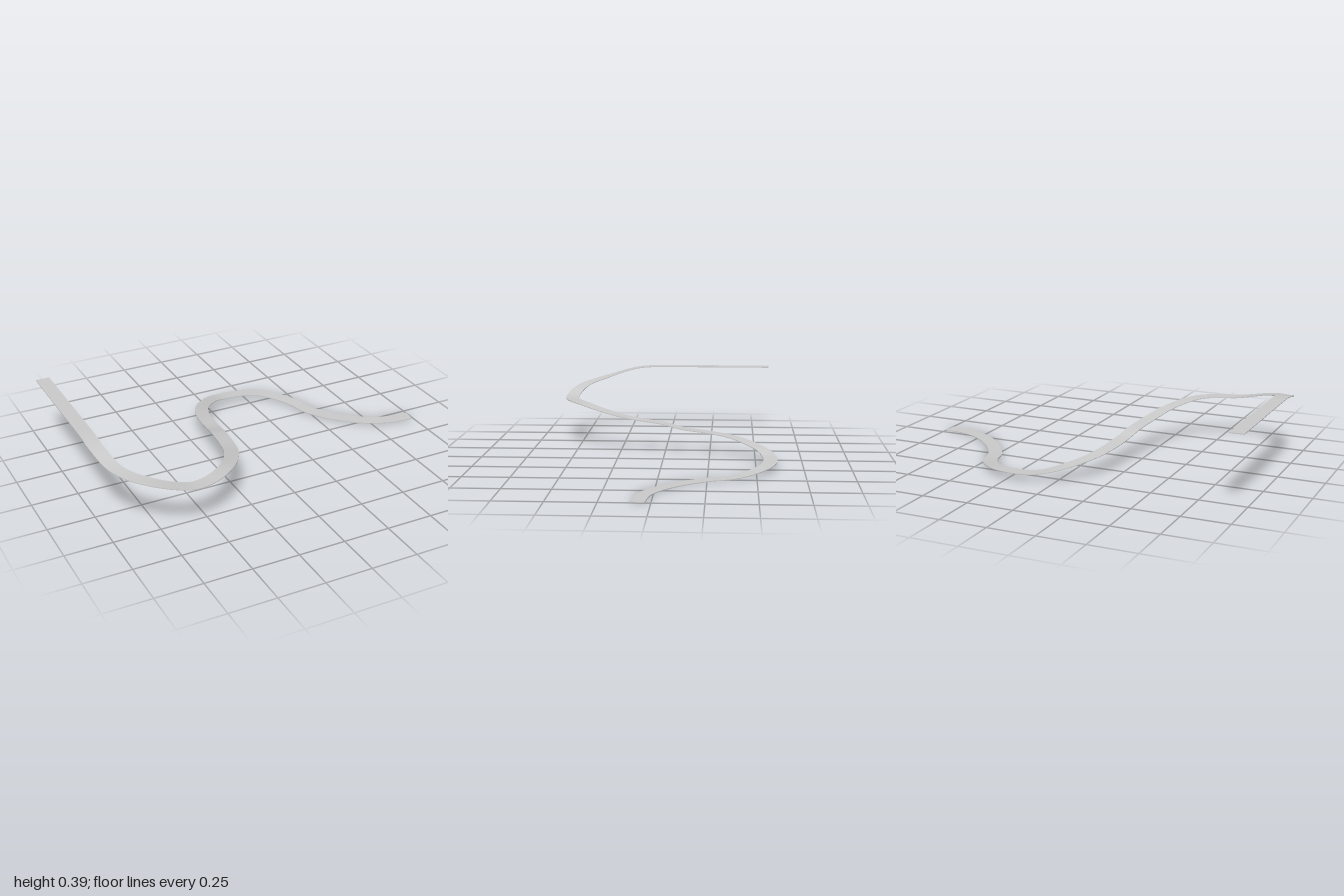
import * as THREE from 'three';

const WIDTH = 0.075, THICK = 0.004, STEPS = 160;

// Centre line of the road's top surface: x, height, z
const PATH = [
  [-0.962, 0.389, -0.595], [-0.962, 0.389, -0.3], [-0.962, 0.389, 0], [-0.962, 0.387, 0.13],
  [-0.96, 0.376, 0.225], [-0.916, 0.328, 0.398], [-0.79, 0.294, 0.524], [-0.617, 0.252, 0.572],
  [-0.53, 0.246, 0.56], [-0.445, 0.246, 0.524], [-0.375, 0.241, 0.468], [-0.318, 0.227, 0.398],
  [-0.264, 0.207, 0.3], [-0.232, 0.188, 0.2], [-0.197, 0.162, 0], [-0.18, 0.139, -0.1],
  [-0.161, 0.122, -0.25], [-0.115, 0.102, -0.39], [0.012, 0.065, -0.533], [0.09, 0.048, -0.567],
  [0.175, 0.041, -0.577], [0.26, 0.037, -0.566], [0.338, 0.031, -0.533], [0.435, 0.016, -0.44],
  [0.48, 0.008, -0.36], [0.505, 0.005, -0.27], [0.58, 0.004, -0.15], [0.715, 0.004, -0.02],
  [0.847, 0.004, 0.046], [0.996, 0.004, 0.067],
];

export function createModel() {
  const curve = new THREE.CatmullRomCurve3(PATH.map(p => new THREE.Vector3(...p)));
  const positions = [], index = [];

  // Level rectangular cross-section swept along the curve; each of the four
  // sides has its own vertices so the edges stay sharp
  const h = WIDTH / 2;
  const corners = [[-h, 0], [h, 0], [h, -THICK], [-h, -THICK]];
  for (let side = 0; side < 4; side++) {
    const base = positions.length / 3;
    for (let i = 0; i <= STEPS; i++) {
      const p = curve.getPointAt(i / STEPS), t = curve.getTangentAt(i / STEPS);
      const len = Math.hypot(t.x, t.z);
      for (const [s, y] of [corners[side], corners[(side + 1) % 4]]) {
        positions.push(p.x - (t.z / len) * s, p.y + y, p.z + (t.x / len) * s);
      }
      if (i < STEPS) {
        const a = base + i * 2;
        index.push(a, a + 1, a + 2, a + 1, a + 3, a + 2);
      }
    }
  }

  // End caps
  const row = (STEPS + 1) * 2;
  for (const i of [0, STEPS]) {
    const base = positions.length / 3;
    for (let side = 0; side < 4; side++) {
      const k = (side * row + i * 2) * 3;
      positions.push(positions[k], positions[k + 1], positions[k + 2]);
    }
    if (i === 0) index.push(base, base + 2, base + 1, base, base + 3, base + 2);
    else index.push(base, base + 1, base + 2, base, base + 2, base + 3);
  }

  const geometry = new THREE.BufferGeometry();
  geometry.setAttribute('position', new THREE.Float32BufferAttribute(positions, 3));
  geometry.setIndex(index);
  geometry.computeVertexNormals();

  const road = new THREE.Mesh(geometry, new THREE.MeshStandardMaterial({ color: 0xcccccc, side: THREE.DoubleSide }));
  road.name = 'windingRoad';
  const group = new THREE.Group();
  group.name = 'road';
  group.add(road);
  return group;
}
